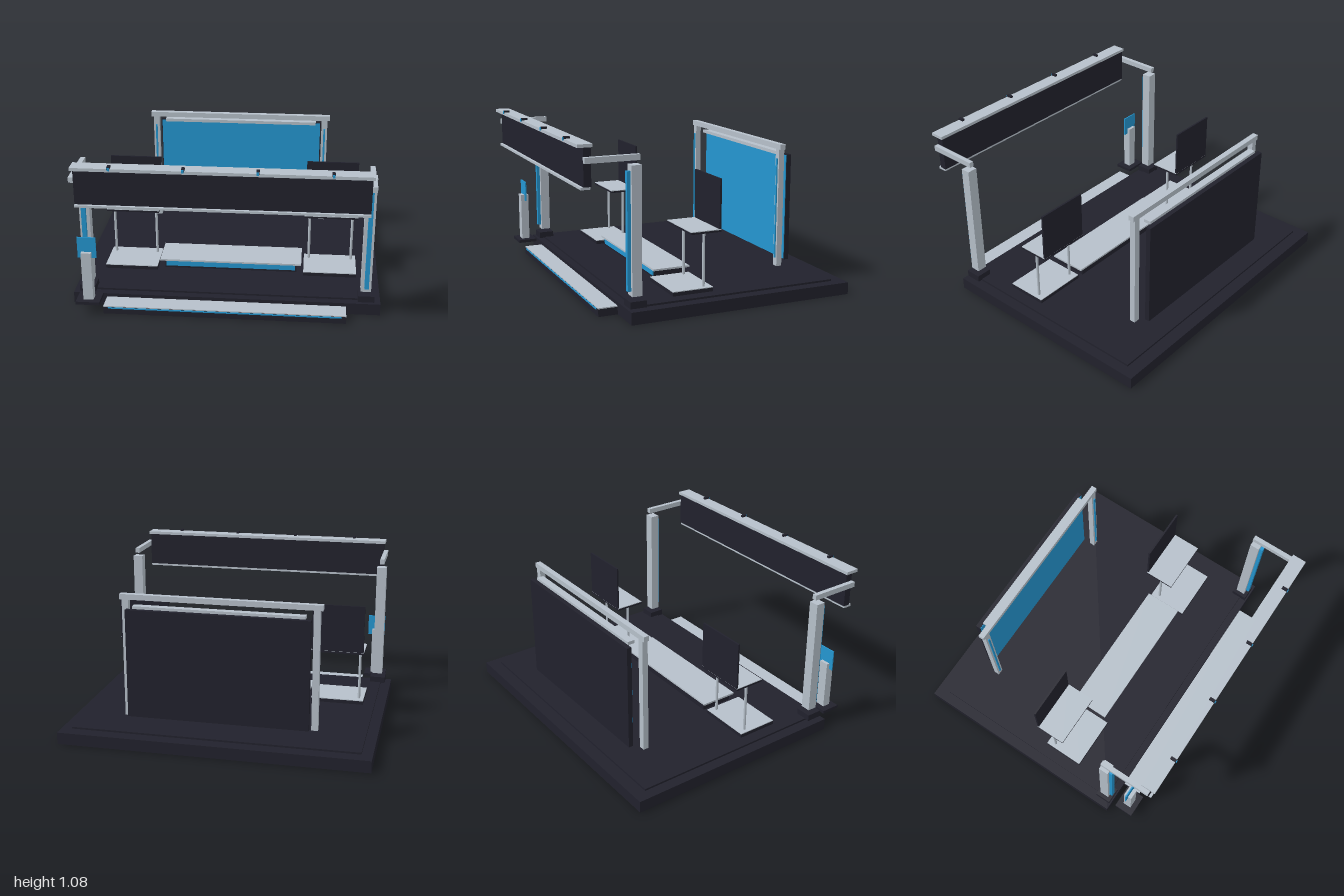
import * as THREE from 'three';

const mat = (name, color) => {
  const m = new THREE.MeshStandardMaterial({ color });
  m.name = name;
  return m;
};

export function createModel() {
  const model = new THREE.Group();
  model.name = 'exhibitionStand';
  const dark = mat('charcoal', 0x21212c);
  const grey = mat('silver', 0xb6c0ca);
  const blue = mat('blue', 0x2496d0);

  // Box given by its extents on each axis
  const box = (name, m, x0, x1, y0, y1, z0, z1) => {
    const mesh = new THREE.Mesh(new THREE.BoxGeometry(x1 - x0, y1 - y0, z1 - z0), m);
    mesh.position.set((x0 + x1) / 2, (y0 + y1) / 2, (z0 + z1) / 2);
    mesh.name = name;
    model.add(mesh);
    return mesh;
  };
  // Same box on both sides of the stand
  const pair = (name, m, x0, x1, ...rest) => {
    box(name + 'Left', m, x0, x1, ...rest);
    box(name + 'Right', m, -x1, -x0, ...rest);
  };
  const centred = (name, m, w, ...rest) => box(name, m, -w, w, ...rest);

  // Floor and front step
  centred('floorBase', dark, 1, 0, 0.078, -0.9, 0.6);
  centred('floorInlay', dark, 0.93, 0.078, 0.09, -0.815, 0.55);
  centred('stepBody', dark, 0.78, 0, 0.048, 0.6, 0.725);
  centred('stepTread', grey, 0.78, 0.048, 0.055, 0.6, 0.725);
  centred('stepLight', blue, 0.75, 0.038, 0.047, 0.725, 0.729);

  // Front portal posts with light strips and header brackets
  pair('portalFoot', dark, 0.855, 0.96, 0.085, 0.128, 0.485, 0.59);
  pair('portalPost', grey, 0.87, 0.937, 0.15, 0.935, 0.505, 0.568);
  pair('portalLight', blue, 0.892, 0.92, 0.18, 0.9, 0.568, 0.59);
  pair('headerBracket', grey, 0.89, 0.92, 0.96, 0.995, 0.505, 0.845);

  // Header fascia, rails and spotlights
  centred('headerPanel', dark, 0.89, 0.82, 1.05, 0.796, 0.843);
  centred('headerCap', grey, 0.9, 1.05, 1.07, 0.788, 0.882);
  centred('headerRail', grey, 0.89, 0.805, 0.82, 0.8, 0.86);
  for (const x of [-0.665, -0.222, 0.219, 0.66]) {
    box('spotlight', dark, x - 0.009, x + 0.009, 1.066, 1.083, 0.845, 0.884);
    box('spotlightLens', blue, x - 0.007, x + 0.007, 1.06, 1.08, 0.884, 0.889);
  }

  // Back wall with screen and frame
  centred('backPanel', dark, 0.588, 0.15, 0.86, -0.7, -0.668);
  centred('backScreen', blue, 0.583, 0.155, 0.855, -0.668, -0.664);
  centred('backTopRail', grey, 0.55, 0.857, 0.878, -0.668, -0.62);
  centred('backBeam', grey, 0.65, 0.905, 0.94, -0.62, -0.582);
  pair('backPost', grey, 0.592, 0.634, 0.125, 0.905, -0.62, -0.582);
  pair('backPostLight', blue, 0.607, 0.62, 0.18, 0.845, -0.582, -0.575);

  // Central podium
  centred('podiumBody', dark, 0.45, 0.09, 0.145, 0, 0.22);
  centred('podiumLight', blue, 0.44, 0.105, 0.143, 0.22, 0.225);
  centred('podiumTop', grey, 0.482, 0.145, 0.157, -0.018, 0.235);

  // Side stations: low plinth, desk, screen and legs
  pair('plinth', dark, 0.497, 0.853, 0.09, 0.114, -0.005, 0.267);
  pair('plinthTop', grey, 0.497, 0.853, 0.114, 0.119, -0.005, 0.267);
  pair('desk', dark, 0.495, 0.853, 0.463, 0.475, -0.057, 0.147);
  pair('deskTop', grey, 0.495, 0.853, 0.475, 0.48, -0.057, 0.147);
  pair('deskScreen', dark, 0.5, 0.85, 0.477, 0.795, -0.058, -0.046);
  const legGeometry = new THREE.CylinderGeometry(0.009, 0.009, 0.358, 16);
  for (const x of [-0.82, -0.53, 0.53, 0.82]) {
    const leg = new THREE.Mesh(legGeometry, grey);
    leg.position.set(x, 0.285, 0.047);
    leg.name = 'deskLeg';
    model.add(leg);
  }

  // Information kiosk on the front right corner
  box('kioskFoot', dark, -0.95, -0.795, 0.08, 0.1, 0.635, 0.765);
  box('kioskColumn', grey, -0.905, -0.84, 0.1, 0.43, 0.675, 0.73);
  box('kioskScreen', blue, -0.93, -0.81, 0.388, 0.53, 0.697, 0.705);

  return model;
}
